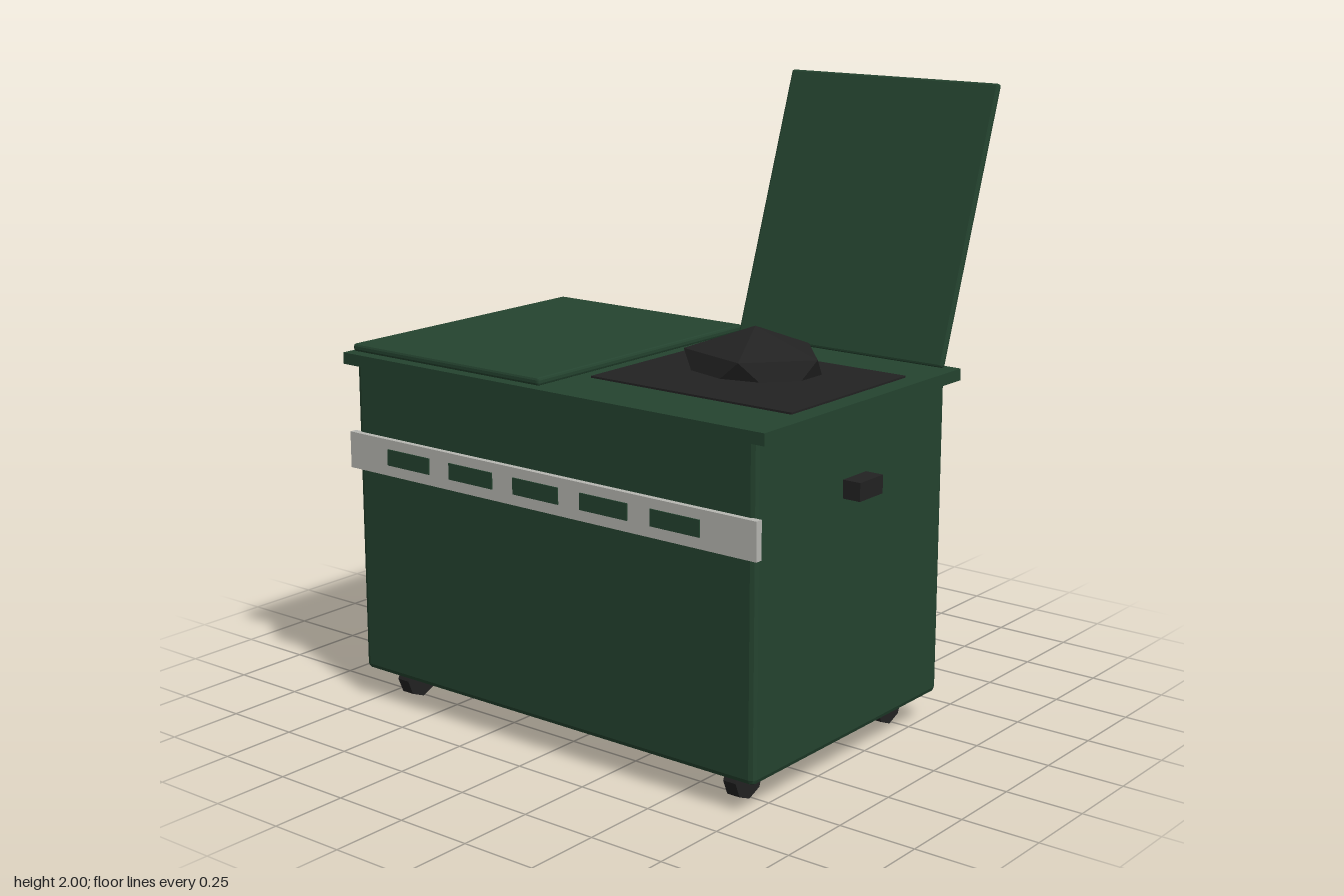
import * as THREE from 'three';
import { RoundedBoxGeometry } from 'three/addons/geometries/RoundedBoxGeometry.js';
import { ConvexGeometry } from 'three/addons/geometries/ConvexGeometry.js';

function material(name, color) {
  const m = new THREE.MeshStandardMaterial({ color });
  m.name = name;
  return m;
}

export function createModel() {
  const model = new THREE.Group();
  model.name = 'wheeledBin';
  const green = material('darkGreen', 0x24432f);
  const black = material('black', 0x222222);
  const silver = material('silver', 0xb6b6b1);

  const add = (name, geometry, mat, x = 0, y = 0, z = 0) => {
    const mesh = new THREE.Mesh(geometry, mat);
    mesh.name = name;
    mesh.position.set(x, y, z);
    model.add(mesh);
    return mesh;
  };

  // Box given by its limits; a bevel above zero chamfers the edges
  const box = (name, mat, [x0, x1], [y0, y1], [z0, z1], bevel = 0) => {
    const size = [x1 - x0, y1 - y0, z1 - z0];
    const geometry = bevel
      ? new RoundedBoxGeometry(...size, 1, bevel)
      : new THREE.BoxGeometry(...size);
    if (bevel) geometry.computeVertexNormals();
    return add(name, geometry, mat, (x0 + x1) / 2, (y0 + y1) / 2, (z0 + z1) / 2);
  };

  // Body and rim
  box('body', green, [-0.785, 0.785], [0.1, 1.13], [-0.353, 0.625], 0.018);
  box('rim', green, [-0.825, 0.825], [1.115, 1.152], [-0.375, 0.642]);

  // Closed lid, and open lid tilted back on its hinge
  box('closedLid', green, [-0.787, -0.003], [1.16, 1.185], [-0.368, 0.635], 0.008);
  const hinge = new THREE.Group();
  hinge.name = 'openLidHinge';
  hinge.position.set(0.391, 1.152, -0.345);
  hinge.rotation.x = -0.328;
  const lid = box('openLid', green, [-0.389, 0.389], [0, 0.892], [-0.011, 0.011], 0.007);
  hinge.add(lid);
  model.add(hinge);

  // Dark opening under the open lid
  box('opening', black, [0.02, 0.76], [1.15, 1.158], [-0.165, 0.425]);

  // Faceted rubbish bag: two poles and two staggered five-point rings
  const points = [new THREE.Vector3(0, 1, 0), new THREE.Vector3(0, -1, 0)];
  for (let i = 0; i < 10; i++) {
    const a = (i * Math.PI) / 5;
    const y = i % 2 ? -0.447 : 0.447;
    points.push(new THREE.Vector3(0.894 * Math.cos(a), y, 0.894 * Math.sin(a)));
  }
  points.forEach((p) => p.multiply(new THREE.Vector3(0.26, 0.136, 0.215)));
  add('rubbishBag', new ConvexGeometry(points), black, 0.343, 1.154, 0.033);

  // Front band with inset panels
  box('frontBand', silver, [-0.803, 0.803], [0.78, 0.898], [0.62, 0.644]);
  for (let i = -2; i <= 2; i++) {
    const x = -0.014 + i * 0.265;
    box('bandSlot', green, [x - 0.09, x + 0.09], [0.815, 0.867], [0.641, 0.648]);
  }

  // Side handles and eight-sided wheels
  const wheel = new THREE.CylinderGeometry(0.068, 0.068, 0.045, 8).toNonIndexed();
  wheel.computeVertexNormals();
  wheel.rotateZ(Math.PI / 2);
  for (const side of [-1, 1]) {
    const xs = [0.775 * side, 0.845 * side].sort((a, b) => a - b);
    box('handle', black, xs, [0.86, 0.917], [0.078, 0.197]);
    for (const z of [-0.235, 0.51]) add('wheel', wheel, black, 0.665 * side, 0.07, z);
  }
  return model;
}
